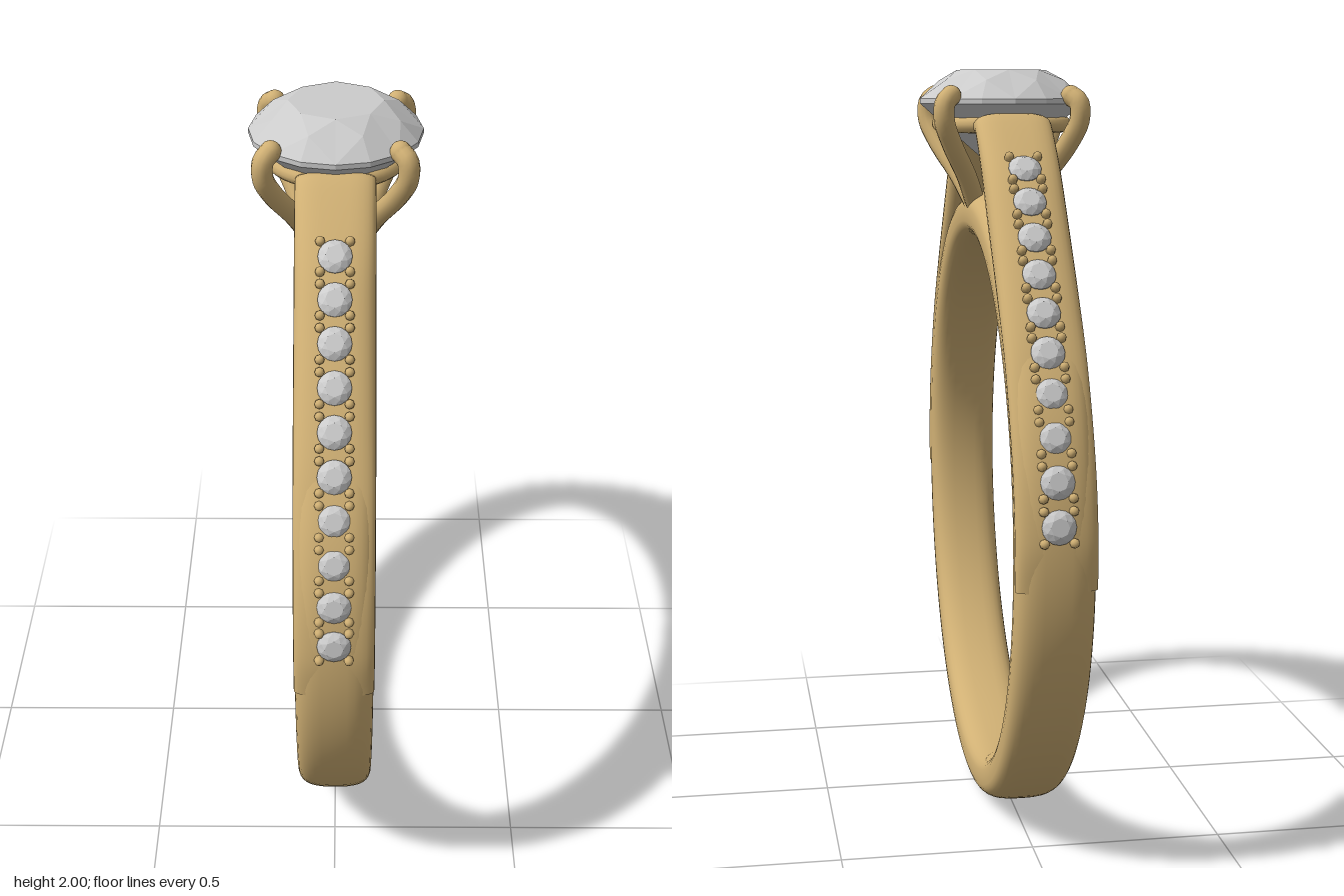
import * as THREE from 'three';

const gold = new THREE.MeshStandardMaterial({ color: 0xd0b074 });
const stone = new THREE.MeshStandardMaterial({ color: 0xcccccc, flatShading: true });
const CENTRE_Y = 0.84;
const SIDES = 32;

function named(name, geometry, material) {
  const mesh = new THREE.Mesh(geometry, material);
  mesh.name = name;
  return mesh;
}

// Rounded-rectangle section between an inner and an outer point of the (z, y) plane
function section(outer, inner, halfWidth) {
  const soft = (v) => Math.sign(v) * Math.pow(Math.abs(v), 0.68);
  const points = [];
  for (let j = 0; j < SIDES; j++) {
    const a = (j / SIDES) * Math.PI * 2;
    const k = (1 + soft(Math.cos(a))) / 2;
    points.push(new THREE.Vector3(
      halfWidth * soft(Math.sin(a)),
      inner.y + (outer.y - inner.y) * k,
      inner.x + (outer.x - inner.x) * k));
  }
  return points;
}

// Skin over a row of sections
function loft(rows, closed) {
  const n = rows[0].length, m = rows.length, index = [];
  for (let i = 0; i < (closed ? m : m - 1); i++) {
    const i2 = (i + 1) % m;
    for (let j = 0; j < n; j++) {
      const j2 = (j + 1) % n;
      index.push(i * n + j, i2 * n + j, i * n + j2, i2 * n + j, i2 * n + j2, i * n + j2);
    }
  }
  const geometry = new THREE.BufferGeometry().setFromPoints(rows.flat());
  geometry.setIndex(index);
  geometry.computeVertexNormals();
  return geometry;
}

// Brilliant cut: table, star, kite and girdle facets above, pavilion below; girdle at y = 0
function brilliant() {
  const at = (r, y, step) => {
    const a = (step * Math.PI) / 8;
    return new THREE.Vector3(r * Math.sin(a), y, r * Math.cos(a));
  };
  const table = (k) => at(0.12, 0.08, 2 * k);
  const mid = (k) => at(0.172, 0.053, 2 * k + 1);
  const girdle = (s) => at(0.22, 0.005, s);
  const lower = (s) => at(0.22, -0.008, s);
  const top = new THREE.Vector3(0, 0.08, 0), culet = new THREE.Vector3(0, -0.2, 0);
  const p = [];
  for (let k = 0; k < 8; k++) {
    const g = 2 * k;
    p.push(top, table(k), table(k + 1));
    p.push(table(k), mid(k), table(k + 1));
    p.push(table(k), mid(k - 1), girdle(g), table(k), girdle(g), mid(k));
    p.push(mid(k), girdle(g), girdle(g + 1), mid(k), girdle(g + 1), girdle(g + 2));
    for (const s of [g, g + 1]) {
      p.push(girdle(s), lower(s), lower(s + 1), girdle(s), lower(s + 1), girdle(s + 1));
      p.push(lower(s), culet, lower(s + 1));
    }
  }
  const geometry = new THREE.BufferGeometry().setFromPoints(p);
  geometry.computeVertexNormals();
  return geometry;
}

function createBand() {
  const rows = [];
  for (let i = 0; i < 128; i++) {
    const a = (i / 128) * Math.PI * 2;
    const at = (r) => new THREE.Vector2(r * Math.sin(a), CENTRE_Y + r * Math.cos(a));
    rows.push(section(at(0.838), at(0.716), 0.098));
  }
  return named('band', loft(rows, true), gold);
}

function createShoulder(gemGeometry) {
  const group = new THREE.Group();
  group.name = 'shoulder';
  const spline = (pts) => new THREE.SplineCurve(pts.map((p) => new THREE.Vector2(...p)));
  const outer = spline([[0.16, 1.88], [0.21, 1.88], [0.35, 1.765], [0.46, 1.64], [0.615, 1.43],
    [0.715, 1.265], [0.8, 1.07], [0.835, 0.9], [0.83, 0.78]]);
  const inner = spline([[0.15, 1.83], [0.185, 1.81], [0.25, 1.73], [0.345, 1.61], [0.47, 1.48],
    [0.61, 1.32], [0.72, 1.1], [0.765, 0.92], [0.775, 0.78]]);

  // Tapering arm from the setting down into the band, closed at both ends
  const rows = [];
  for (let i = 0; i <= 48; i++) {
    rows.push(section(outer.getPoint(i / 48), inner.getPoint(i / 48), 0.1));
  }
  const collapse = (row) => {
    const c = new THREE.Vector3();
    row.forEach((p) => c.addScaledVector(p, 1 / row.length));
    return row.map(() => c.clone());
  };
  const first = rows[0], last = rows[rows.length - 1];
  const all = [collapse(first), first, ...rows, last, collapse(last)];
  group.add(named('shoulderArm', loft(all, false), gold));

  // Row of small stones, each held by four beads
  const bead = new THREE.CapsuleGeometry(0.012, 0.028, 3, 8);
  const path = outer.getSpacedPoints(400);
  const start = path.findIndex((p) => p.x > 0.36);
  const end = path.findIndex((p) => p.y < 0.94);
  for (let i = 0; i < 10; i++) {
    const n = Math.round(start + ((end - start) * i) / 9);
    const tangent = path[n + 2].clone().sub(path[n - 2]);
    const seat = new THREE.Group();
    seat.name = 'smallStoneSeat';
    seat.position.set(0, path[n].y, path[n].x);
    seat.rotation.x = Math.atan2(-tangent.y, tangent.x);
    const gem = named('smallStone', gemGeometry, stone);
    gem.scale.setScalar(0.19);
    gem.position.y = 0.002;
    seat.add(gem);
    for (const x of [-0.036, 0.036]) {
      for (const z of [-0.038, 0.038]) {
        const b = named('bead', bead, gold);
        b.position.set(x, -0.008, z);
        seat.add(b);
      }
    }
    group.add(seat);
  }
  return group;
}

function createProng(sx, sz) {
  const group = new THREE.Group();
  group.name = 'prong';
  const points = [[0.075, 1.65, 0.02], [0.105, 1.72, 0.075], [0.155, 1.81, 0.145],
    [0.178, 1.87, 0.175], [0.176, 1.915, 0.176], [0.158, 1.933, 0.158]]
    .map(([x, y, z]) => new THREE.Vector3(sx * x, y, sz * z));
  const curve = new THREE.CatmullRomCurve3(points);
  group.add(named('prongWire', new THREE.TubeGeometry(curve, 32, 0.027, 12), gold));
  const tip = named('prongTip', new THREE.SphereGeometry(0.027, 14, 10), gold);
  tip.position.copy(points[points.length - 1]);
  group.add(tip);
  return group;
}

export function createModel() {
  const model = new THREE.Group();
  model.name = 'ring';
  const gemGeometry = brilliant();
  model.add(createBand());

  // Shoulders front and back
  for (const turn of [0, Math.PI]) {
    const shoulder = createShoulder(gemGeometry);
    shoulder.rotation.y = turn;
    model.add(shoulder);
  }

  // Setting: rail, four prongs and the centre stone
  const rail = named('galleryRail', new THREE.TorusGeometry(0.165, 0.022, 12, 64), gold);
  rail.rotation.x = Math.PI / 2;
  rail.position.y = 1.858;
  model.add(rail);
  for (const sx of [-1, 1]) for (const sz of [-1, 1]) model.add(createProng(sx, sz));

  const gem = named('centreStone', gemGeometry, stone);
  gem.position.y = 1.92;
  model.add(gem);
  return model;
}
